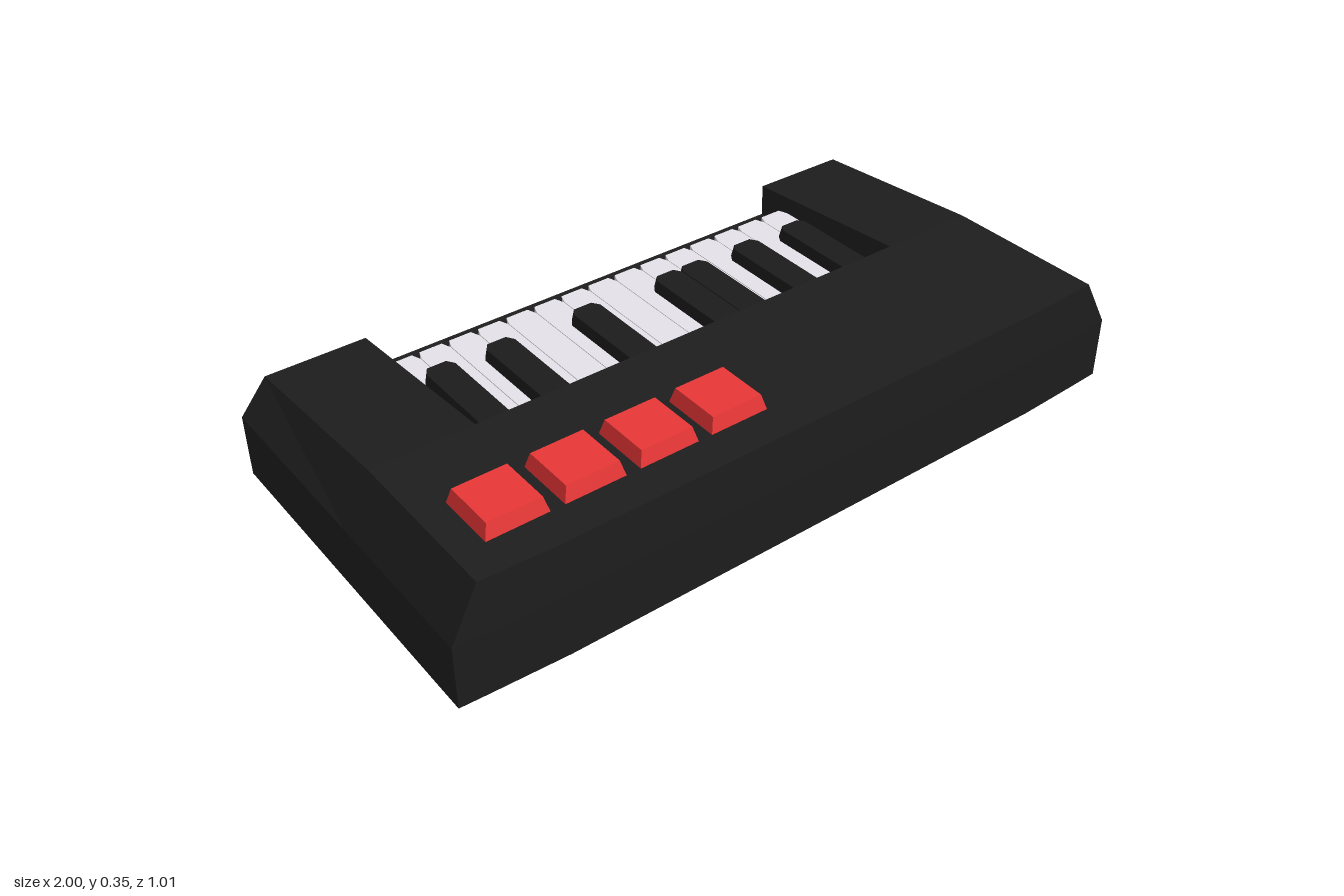
import * as THREE from 'three';

const paint = (color, flatShading = true) => new THREE.MeshStandardMaterial({ color, flatShading });
const bodyMat = paint(0x1d1d1d);
const blackMat = paint(0x1b1b1b);
const whiteMat = paint(0xe4e2e8);
const redMat = paint(0xe83636);

const FLOOR = 0.172, WALL_Z = 0.03, BACK = -0.505;

// Loft equal-length [z, y] sections along x, closing both ends
function loft(sections) {
  const pos = [];
  const tri = (...pts) => pts.forEach(p => pos.push(...p));
  const at = (s, i) => [s.x, s.pts[i % s.pts.length][1], s.pts[i % s.pts.length][0]];
  const n = sections[0].pts.length;
  for (let k = 0; k < sections.length - 1; k++) {
    const s = sections[k], t = sections[k + 1];
    for (let i = 0; i < n; i++) {
      tri(at(s, i), at(t, i), at(t, i + 1));
      tri(at(s, i), at(t, i + 1), at(s, i + 1));
    }
  }
  const first = sections[0], last = sections[sections.length - 1];
  for (let i = 1; i < n - 1; i++) {
    tri(at(first, 0), at(first, i), at(first, i + 1));
    tri(at(last, 0), at(last, i + 1), at(last, i));
  }
  const g = new THREE.BufferGeometry();
  g.setAttribute('position', new THREE.Float32BufferAttribute(pos, 3));
  g.computeVertexNormals();
  return g;
}

// Side profile of the case: front edge, top height, back height, optional key well
function section(x, front, top, back, well = false) {
  const lean = top > 0.2 ? 0.01 : 0;
  return { x, pts: [
    [BACK, 0], [front, 0], [front, 0.175], [front - lean, top], [WALL_Z, top],
    [WALL_Z, well ? FLOOR : top], [BACK, well ? FLOOR : back],
  ] };
}

// Key with clipped corners at its free end, which points to -z
function keyGeometry(width, end, height, clipX, clipZ) {
  const w = width / 2;
  const shape = new THREE.Shape([
    [-w, -WALL_Z], [w, -WALL_Z], [w, end - clipZ], [w - clipX, end],
    [-w + clipX, end], [-w, end - clipZ],
  ].map(p => new THREE.Vector2(...p)));
  return new THREE.ExtrudeGeometry(shape, { depth: height, bevelEnabled: false }).rotateX(-Math.PI / 2);
}

// Box whose top face is scaled inwards
function taperedBox(w, h, d, k) {
  const g = new THREE.BoxGeometry(w, h, d).translate(0, h / 2, 0);
  const p = g.attributes.position;
  for (let i = 0; i < p.count; i++) {
    if (p.getY(i) > h / 2) p.setXYZ(i, p.getX(i) * k, h, p.getZ(i) * k);
  }
  g.computeVertexNormals();
  return g;
}

export function createModel() {
  const model = new THREE.Group();
  const add = (name, geometry, material, x = 0, y = 0, z = 0) => {
    const mesh = new THREE.Mesh(geometry, material);
    mesh.name = name;
    mesh.position.set(x, y, z);
    model.add(mesh);
    return mesh;
  };

  // Case with chamfered ends, sloping back and a key well open to the rear
  const half = [
    section(0.65, 0.505, 0.312, 0.265, true),
    section(0.65, 0.505, 0.312, 0.265),
    section(0.72, 0.505, 0.312, 0.265),
    section(0.925, 0.496, 0.312, 0.265),
    section(1, 0.492, 0.175, 0.175),
  ];
  const mirrored = half.map(s => ({ x: -s.x, pts: s.pts })).reverse();
  add('case', loft([...mirrored, ...half]), bodyMat);

  // White keys
  const count = 15, pitch = 1.296 / count;
  const white = keyGeometry(pitch - 0.002, 0.415, 0.056, 0.01, 0.028);
  for (let i = 0; i < count; i++) {
    add('whiteKey', white, whiteMat, (i - (count - 1) / 2) * pitch, FLOOR, 0);
  }

  // Black keys, with the top edge sloped back at the free end
  const black = keyGeometry(0.082, 0.305, 0.045, 0.014, 0.022);
  const p = black.attributes.position;
  for (let i = 0; i < p.count; i++) {
    if (p.getY(i) > 0.02 && p.getZ(i) < -0.2) p.setZ(i, p.getZ(i) + 0.015);
  }
  black.computeVertexNormals();
  for (const x of [-0.57, -0.397, -0.135, 0.132, 0.217, 0.397, 0.57]) {
    add('blackKey', black, blackMat, x, 0.222, 0);
  }

  // Red push buttons
  const button = taperedBox(0.164, 0.044, 0.164, 0.86);
  for (let i = 0; i < 4; i++) {
    add('button', button, redMat, -0.765 + i * 0.2, 0.308, 0.312);
  }
  return model;
}
